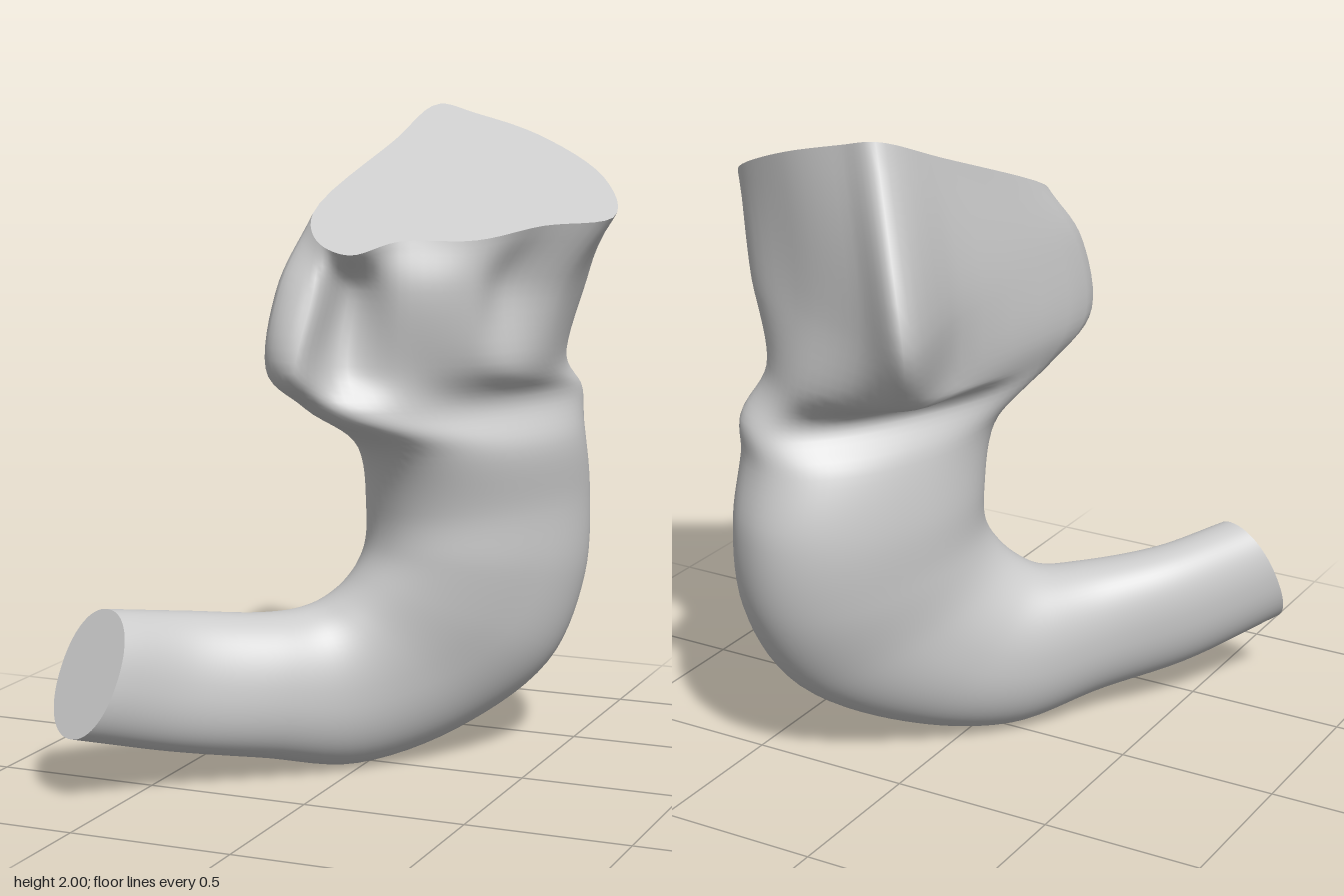
import * as THREE from 'three';

const SIDES = 72, STEPS = 80;
const V = (x, y, z) => new THREE.Vector3(x, y, z);
const fuller = (v) => Math.sign(v) * Math.abs(v) ** 0.92;

// Slightly squared oval ring from its inner point, outer point and half-width vector
function oval(inner, outer, side) {
  const mid = inner.clone().add(outer).multiplyScalar(0.5);
  const u = inner.clone().sub(mid);
  return Array.from({ length: SIDES }, (_, i) => {
    const t = (i / SIDES) * Math.PI * 2;
    return mid.clone().addScaledVector(u, fuller(Math.cos(t))).addScaledVector(side, fuller(Math.sin(t)));
  });
}

// Limb stations: inner x y z, outer x y z, half width, heading of the width
const limb = [
  [-0.42, 0.52, 0.4, -0.45, 0.115, 0.5, 0.14, 0.74],
  [-0.24, 0.495, 0.23, -0.25, 0.06, 0.28, 0.16, 0.74],
  [-0.15, 0.5, 0.14, -0.05, 0, 0.03, 0.185, 0.72],
  [-0.08, 0.53, 0.11, 0.19, 0.08, -0.26, 0.21, 0.68],
  [0, 0.59, 0.09, 0.37, 0.26, -0.51, 0.245, 0.6],
  [0.07, 0.68, 0.08, 0.41, 0.52, -0.66, 0.27, 0.5],
  [0.09, 0.8, 0.09, 0.4, 0.8, -0.7, 0.275, 0.45],
  [0.09, 1, 0.17, 0.4, 1, -0.65, 0.27, 0.45],
  [-0.04, 1.14, 0.34, 0.44, 1.12, -0.62, 0.225, 0.55],
];

// Ridges and hollows of the upper block: x, z at the base, middle and rim
const landmarks = {
  finInner: [-0.03, 0.49, 0, 0.42, 0, 0.37],
  notch: [0.03, 0.31, 0.05, 0.27, 0.1, 0.39],
  frontBulge: [0.2, 0.25, 0.21, 0.28, 0.2, 0.26],
  frontSide: [0.37, 0.13, 0.39, 0.17, 0.4, 0.16],
  crease: [0.46, 0, 0.44, 0.01, 0.55, 0],
  sideCorner: [0.52, -0.2, 0.59, -0.13, 0.72, -0.13],
  sideBack: [0.47, -0.45, 0.54, -0.42, 0.62, -0.35],
  back: [0.28, -0.62, 0.28, -0.57, 0.35, -0.52],
  ridgeSide: [0.06, -0.65, 0, -0.68, 0.12, -0.57],
  rearRidge: [-0.11, -0.6, -0.19, -0.76, 0, -0.58],
  wall: [-0.1, -0.28, -0.11, -0.3, -0.04, -0.3],
  finOuter: [-0.15, 0.42, -0.13, 0.39, -0.09, 0.22],
};

// Height of each level; the rim follows a slanted plane
const levels = [
  () => 1.26,
  () => 1.5,
  (x, z) => 2 - 0.185 * x - 0.393 * (z + 0.57),
];

// Smooth closed ring through the landmarks at one level
function blockRing(height, level) {
  const pts = Object.values(landmarks).map((m) => {
    const [x, z] = m.slice(level * 2);
    return V(x, height(x, z), z);
  });
  const curve = new THREE.CatmullRomCurve3(pts, true, 'centripetal');
  return Array.from({ length: SIDES }, (_, i) => curve.getPoint(i / SIDES));
}

// Flat end built as a fan round the centre of a ring
function endFace(ring, flip, name, material) {
  const mid = ring.reduce((s, p) => s.add(p), V(0, 0, 0)).divideScalar(ring.length);
  const pts = ring.flatMap((p, i) => {
    const q = ring[(i + 1) % ring.length];
    return flip ? [mid, q, p] : [mid, p, q];
  });
  const geo = new THREE.BufferGeometry().setFromPoints(pts);
  geo.computeVertexNormals();
  const mesh = new THREE.Mesh(geo, material);
  mesh.name = name;
  return mesh;
}

export function createModel() {
  const material = new THREE.MeshStandardMaterial({ color: 0xcccccc });
  const group = new THREE.Group();
  group.name = 'bentLimb';

  // Rings from the lower cut, round the bend, to the waist and the upper block
  const sections = [
    oval(V(-0.57, 0.56, 0.62), V(-0.63, 0.2, 0.77), V(0.12, 0, 0.05)),
    ...limb.map(([a, b, c, d, e, f, w, h]) =>
      oval(V(a, b, c), V(d, e, f), V(w * Math.cos(h), 0, w * Math.sin(h)))),
    ...levels.map(blockRing),
  ];

  // Smooth lines along the limb, sampled into evenly stepped rings
  const lines = Array.from({ length: SIDES }, (_, i) =>
    new THREE.CatmullRomCurve3(sections.map((s) => s[i]), false, 'centripetal'));
  const rings = Array.from({ length: STEPS + 1 }, (_, j) => lines.map((c) => c.getPoint(j / STEPS)));

  // Skin
  const index = [];
  for (let j = 0; j < STEPS; j++) {
    for (let i = 0; i < SIDES; i++) {
      const a = j * SIDES + i, b = j * SIDES + ((i + 1) % SIDES);
      index.push(a, b, a + SIDES, b, b + SIDES, a + SIDES);
    }
  }
  const skin = new THREE.BufferGeometry().setFromPoints(rings.flat());
  skin.setIndex(index);
  skin.computeVertexNormals();
  const body = new THREE.Mesh(skin, material);
  body.name = 'limbSkin';

  group.add(body,
    endFace(rings[0], true, 'lowerCutFace', material),
    endFace(rings[STEPS], false, 'upperCutFace', material));
  return group;
}
